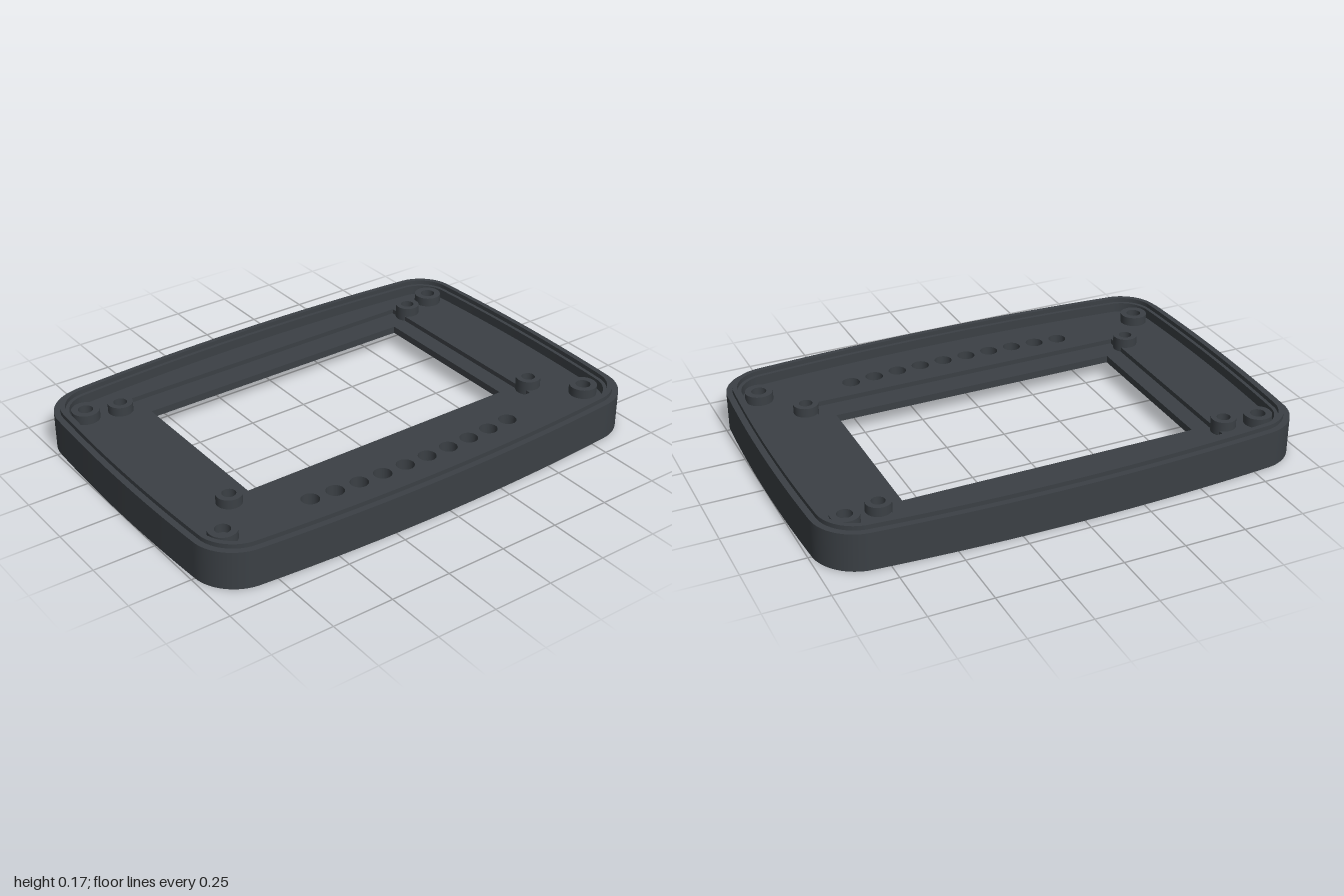
import * as THREE from 'three';
import { mergeGeometries } from 'three/addons/utils/BufferGeometryUtils.js';

// Bulged, round-cornered outline in (x, z), drawn counter-clockwise
function baseOutline() {
  const s = new THREE.Shape();
  const k = 0.56, X = 0.985, Z = 0.5, x = 0.82, z = 0.667, cx = 0.976, cz = 0.654;
  const mix = (a, b) => a + (b - a) * k;
  s.moveTo(X, -Z);
  s.quadraticCurveTo(1.015, 0, X, Z);
  s.bezierCurveTo(mix(X, cx), mix(Z, cz), mix(x, cx), mix(z, cz), x, z);
  s.quadraticCurveTo(0, 0.737, -x, z);
  s.bezierCurveTo(-mix(x, cx), mix(z, cz), -mix(X, cx), mix(Z, cz), -X, Z);
  s.quadraticCurveTo(-1.015, 0, -X, -Z);
  s.bezierCurveTo(-mix(X, cx), -mix(Z, cz), -mix(x, cx), -mix(z, cz), -x, -z);
  s.quadraticCurveTo(0, -0.737, x, -z);
  s.bezierCurveTo(mix(x, cx), -mix(z, cz), mix(X, cx), -mix(Z, cz), X, -Z);
  const pts = s.getPoints(16);
  if (pts[0].distanceTo(pts[pts.length - 1]) < 1e-5) pts.pop();
  return pts;
}
const base = baseOutline();

// Outline moved inward by a distance
function outline(inset) {
  const n = base.length;
  return base.map((p, i) => {
    const t = base[(i + 1) % n].clone().sub(base[(i + n - 1) % n]).normalize();
    return new THREE.Vector2(p.x - t.y * inset, p.y + t.x * inset);
  });
}

// Smooth band between two [inset, height] rings
function band([insetA, yA], [insetB, yB]) {
  const a = outline(insetA), b = outline(insetB), n = a.length;
  const pos = [], idx = [];
  for (let i = 0; i < n; i++) {
    pos.push(a[i].x, yA, a[i].y, b[i].x, yB, b[i].y);
    const p = 2 * i, q = 2 * ((i + 1) % n);
    idx.push(p, p + 1, q, q, p + 1, q + 1);
  }
  const g = new THREE.BufferGeometry();
  g.setAttribute('position', new THREE.Float32BufferAttribute(pos, 3));
  g.setIndex(idx);
  g.computeVertexNormals();
  return g;
}

function rectHole(x, z0, z1) {
  return new THREE.Path([[-x, z0], [-x, z1], [x, z1], [x, z0]].map(p => new THREE.Vector2(...p)));
}

// Flat plate with holes, between two heights
function plate(holes, y0, y1) {
  const s = new THREE.Shape(outline(0.06));
  s.holes.push(...holes);
  const g = new THREE.ExtrudeGeometry(s, { depth: y1 - y0, bevelEnabled: false, curveSegments: 24 });
  return g.rotateX(Math.PI / 2).translate(0, y1, 0);
}

export function createModel() {
  const group = new THREE.Group();
  const plastic = new THREE.MeshStandardMaterial({ color: 0x3b4045 });
  plastic.name = 'charcoal plastic';
  const add = (geometry, name) => {
    const m = new THREE.Mesh(geometry, plastic);
    m.name = name;
    group.add(m);
    return m;
  };

  // Rim: underside recess, outer wall, stepped lip, inner wall
  const profile = [[0.1, 0.065], [0.06, 0], [0, 0], [0, 0.155], [0.025, 0.155], [0.025, 0.173],
    [0.045, 0.173], [0.045, 0.155], [0.06, 0.155], [0.06, 0.115]];
  const bands = profile.slice(1).map((p, i) => band(profile[i], p));
  add(mergeGeometries(bands), 'rim');

  // Row of indicator holes on a gentle arc
  const lights = () => Array.from({ length: 10 }, (_, i) => {
    const x = (i - 4.5) * 0.105;
    const z = 0.495 - 0.022 * (x / 0.4725) ** 2;
    return new THREE.Path().absarc(x, z, 0.036, 0, Math.PI * 2, true);
  });

  // Face panel: lower layer with the window, upper layer with the wider pocket
  add(plate([rectHole(0.61, -0.43, 0.27), ...lights()], 0.065, 0.095), 'lowerPanel');
  add(plate([rectHole(0.683, -0.535, 0.37), ...lights()], 0.095, 0.115), 'upperPanel');

  // Hollow screw bosses
  const boss = (x, z, rOut, rIn, name) => {
    const y0 = 0.095, y1 = 0.153;
    const wall = (r, a, b, rb = r) => new THREE.LatheGeometry(
      [new THREE.Vector2(r, a), new THREE.Vector2(rb, b)], 28);
    const g = mergeGeometries([
      wall(rOut, y0, y1), wall(rOut, y1, y1, rIn), wall(rIn, y1, 0.117), wall(rIn, 0.117, 0.117, 0)
    ]);
    add(g, name).position.set(x, 0, z);
  };
  for (const side of [-1, 1]) {
    for (const z of [-0.51, 0.49]) boss(side * 0.858, z, 0.056, 0.03, 'cornerBoss');
    for (const z of [-0.48, 0.315]) boss(side * 0.72, z, 0.05, 0.027, 'windowBoss');
  }
  return group;
}
